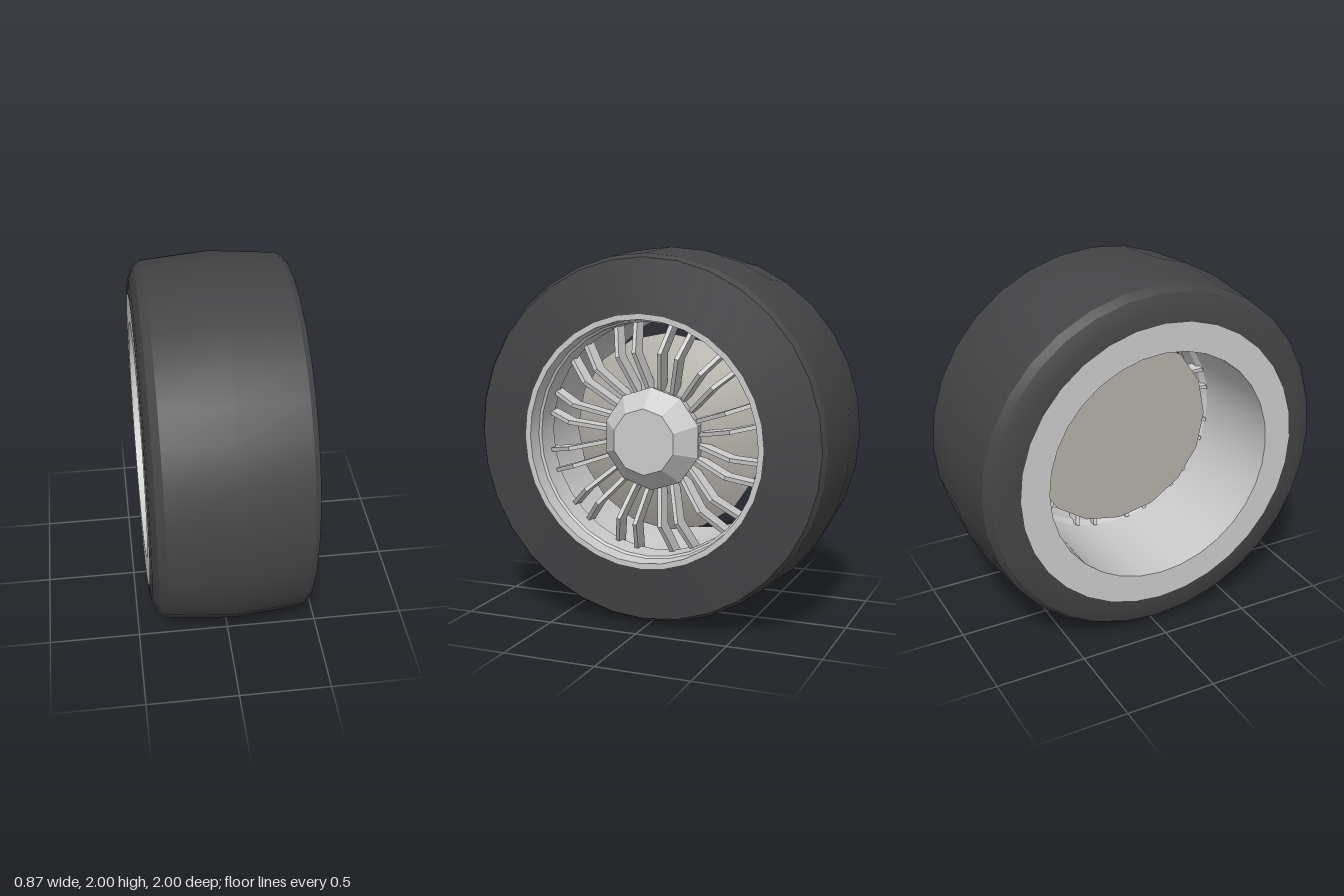
import * as THREE from 'three';
import { toCreasedNormals } from 'three/addons/utils/BufferGeometryUtils.js';

// Profile points are [x along the axle, radius]
function turn(name, profile, sides, material) {
  const points = profile.map(([x, r]) => new THREE.Vector2(r, x));
  let geometry = new THREE.LatheGeometry(points, sides, Math.PI / 2);
  geometry.rotateZ(-Math.PI / 2);
  geometry = toCreasedNormals(geometry, 0.5);
  const mesh = new THREE.Mesh(geometry, material);
  mesh.name = name;
  return mesh;
}

export function createModel() {
  const wheel = new THREE.Group();
  wheel.name = 'wheel';
  wheel.position.y = 1;

  const metal = new THREE.MeshStandardMaterial({ color: 0xcccccc });
  const faceted = new THREE.MeshStandardMaterial({ color: 0xcccccc, flatShading: true });
  const rubber = new THREE.MeshStandardMaterial({ color: 0x444446 });
  const drumMetal = new THREE.MeshStandardMaterial({ color: 0xb4b0aa });

  // Tyre: crowned tread, rounded shoulders, sloping outer sidewall
  wheel.add(turn('tyre', [
    [-0.435, 0.795], [-0.428, 0.87], [-0.40, 0.94], [-0.36, 0.97],
    [0, 1], [0.36, 0.97], [0.39, 0.95], [0.435, 0.665],
  ], 32, rubber));

  // Rim: outer lip, stepped seat, deep barrel and flat back ring
  wheel.add(turn('rim', [
    [0.435, 0.665], [0.435, 0.637], [0.35, 0.632], [0.34, 0.62],
    [0.2, 0.62], [0.17, 0.64], [-0.435, 0.64], [-0.435, 0.795],
  ], 32, metal));

  // Cone-fronted drum behind the spokes
  wheel.add(turn('drum', [
    [0.05, 0], [0.05, 0.545], [0.2, 0.25], [0.2, 0],
  ], 16, drumMetal));

  // Faceted hub cap
  wheel.add(turn('hubCap', [
    [0.14, 0.25], [0.28, 0.275], [0.39, 0.175], [0.39, 0],
  ], 10, faceted));

  // Spokes: thin chevron plates in twelve pairs
  const chevron = new THREE.Shape([
    [0.24, 0.24], [0.345, 0.46], [0.24, 0.63], [0.15, 0.63], [0.25, 0.46], [0.15, 0.24],
  ].map(([x, r]) => new THREE.Vector2(x, r)));
  const plate = new THREE.ExtrudeGeometry(chevron, { depth: 0.022, bevelEnabled: false });
  plate.translate(0, 0, -0.011);

  for (let i = 0; i < 12; i++) {
    const pair = new THREE.Group();
    pair.name = 'spokePair';
    pair.rotation.x = (i + 0.5) * Math.PI / 6;
    for (const side of [-1, 1]) {
      const spoke = new THREE.Mesh(plate, metal);
      spoke.name = 'spoke';
      spoke.position.z = side * 0.02;
      spoke.rotation.x = side * 0.062;
      pair.add(spoke);
    }
    wheel.add(pair);
  }

  const model = new THREE.Group();
  model.name = 'wheelModel';
  model.add(wheel);
  return model;
}
